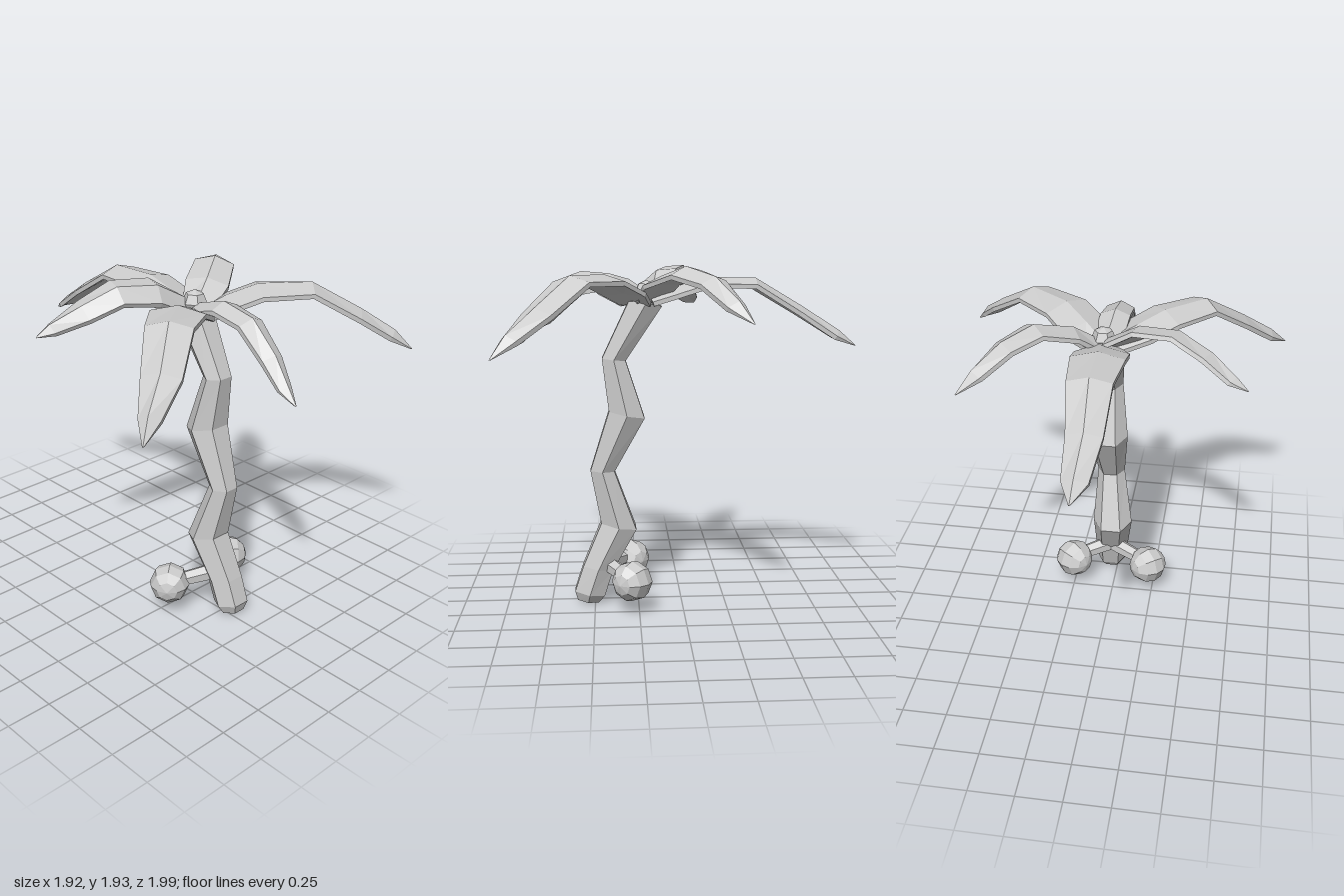
import * as THREE from 'three';

const material = new THREE.MeshStandardMaterial({ color: 0xcccccc, flatShading: true, side: THREE.DoubleSide });

// Skin a list of equal-sized rings of Vector3 and close both ends
function loft(rings) {
  const n = rings[0].length, index = [];
  const last = (rings.length - 1) * n;
  for (let r = 0; r < rings.length - 1; r++) {
    for (let i = 0; i < n; i++) {
      const a = r * n + i, b = r * n + (i + 1) % n;
      index.push(a, b, b + n, a, b + n, a + n);
    }
  }
  for (let i = 1; i < n - 1; i++) {
    index.push(0, i + 1, i, last, last + i, last + i + 1);
  }
  const geometry = new THREE.BufferGeometry().setFromPoints(rings.flat());
  geometry.setIndex(index);
  const flat = geometry.toNonIndexed();
  flat.computeVertexNormals();
  return flat;
}

function addMesh(parent, name, geometry) {
  const mesh = new THREE.Mesh(geometry, material);
  mesh.name = name;
  parent.add(mesh);
  return mesh;
}

// Six-sided trunk ring: centre, radius across x, radius along z, rise toward the front
function trunkRing([x, y, z, rx, rz, slope]) {
  return Array.from({ length: 6 }, (_, i) => {
    const t = i * Math.PI / 3;
    const dz = -Math.sin(t) * rz / 0.866;
    return new THREE.Vector3(x + Math.cos(t) * rx, y + dz * slope, z + dz);
  });
}

// Ridged leaf: stations are [x, ridge height, z, half width]; roll tips it sideways
function frondGeometry(stations, roll) {
  const points = stations.map(([x, y, z]) => new THREE.Vector3(x, y, z));
  const up = new THREE.Vector3(0, 1, 0);
  return loft(points.map((p, i) => {
    const before = points[Math.max(i - 1, 0)];
    const after = points[Math.min(i + 1, points.length - 1)];
    const dir = after.clone().sub(before).normalize();
    const side = up.clone().cross(dir).normalize();
    const normal = dir.clone().cross(side).normalize();
    side.applyAxisAngle(dir, roll);
    normal.applyAxisAngle(dir, roll);
    const w = stations[i][3], k = Math.min(1, w / 0.05);
    const section = [[0, 0], [-w, -0.035], [-w, -0.06], [0, -0.045], [w, -0.06], [w, -0.035]];
    return section.map(([s, h]) => p.clone().addScaledVector(side, s).addScaledVector(normal, h * k));
  }));
}

export function createModel() {
  const model = new THREE.Group();
  model.name = 'palmTree';

  // Zigzag trunk with a bevelled foot
  const trunk = [
    [0.04, 0.01, 0.54, 0.07, 0.06, 0.15],
    [0.04, 0.06, 0.53, 0.1, 0.085, 0.18],
    [0.035, 0.21, 0.48, 0.105, 0.085, 0.15],
    [0.015, 0.45, 0.36, 0.12, 0.1, 0.2],
    [0.035, 0.775, 0.45, 0.082, 0.068, 0.05],
    [0.04, 1.1, 0.31, 0.12, 0.1, 0.2],
    [0.04, 1.41, 0.38, 0.083, 0.066, 0.1],
    [0.04, 1.725, 0.2, 0.11, 0.09, 0.2],
  ];
  addMesh(model, 'trunk', loft(trunk.map(trunkRing)));

  // Crown bud closing the top of the trunk
  const bud = addMesh(model, 'crownBud', new THREE.SphereGeometry(0.07, 6, 4));
  bud.position.set(0.045, 1.78, 0.195);

  // Leaves around the crown
  const fronds = {
    backFrond: [[
      [0.04, 1.765, 0.18, 0.1], [0.03, 1.81, 0.04, 0.15], [0.025, 1.865, -0.14, 0.147],
      [0.025, 1.86, -0.42, 0.12], [0.01, 1.7, -0.69, 0.095], [0.025, 1.565, -0.9, 0.07],
      [0.03, 1.48, -0.995, 0.004]], 0],
    frontFrond: [[
      [0.03, 1.79, 0.24, 0.085], [0.015, 1.85, 0.44, 0.085], [0.01, 1.81, 0.65, 0.08],
      [0, 1.66, 0.82, 0.065], [-0.02, 1.53, 0.93, 0.04], [-0.03, 1.45, 0.995, 0.004]], 0],
    frontLeftFrond: [[
      [0.07, 1.76, 0.24, 0.1], [0.16, 1.82, 0.31, 0.15], [0.29, 1.885, 0.425, 0.145],
      [0.52, 1.885, 0.6, 0.12], [0.74, 1.73, 0.77, 0.1], [0.88, 1.61, 0.9, 0.055],
      [0.955, 1.5, 0.97, 0.004]], 0],
    frontRightFrond: [[
      [0.01, 1.76, 0.24, 0.1], [-0.13, 1.82, 0.32, 0.15], [-0.27, 1.88, 0.4, 0.145],
      [-0.49, 1.89, 0.57, 0.12], [-0.7, 1.73, 0.74, 0.1], [-0.87, 1.6, 0.845, 0.055],
      [-0.96, 1.5, 0.91, 0.004]], 0],
    backLeftFrond: [[
      [0.07, 1.78, 0.19, 0.09], [0.2, 1.87, 0.13, 0.12], [0.39, 1.93, 0, 0.11],
      [0.54, 1.88, -0.14, 0.09], [0.68, 1.76, -0.25, 0.06], [0.755, 1.65, -0.32, 0.004]], 0.1],
    backRightFrond: [[
      [0.02, 1.8, 0.16, 0.09], [-0.16, 1.9, 0.13, 0.11], [-0.38, 1.92, 0.06, 0.1],
      [-0.56, 1.84, -0.01, 0.085], [-0.7, 1.75, -0.1, 0.045], [-0.765, 1.69, -0.13, 0.004]], -0.4],
  };
  for (const [name, [stations, roll]] of Object.entries(fronds)) {
    addMesh(model, name, frondGeometry(stations, roll));
  }

  // Round fruits on short stalks either side of the base
  for (const [side, x] of [['left', 0.25], ['right', -0.22]]) {
    const fruit = addMesh(model, side + 'Fruit', new THREE.SphereGeometry(0.115, 8, 6));
    fruit.position.set(x, 0.18, 0.29);
    fruit.rotation.set(Math.PI / 2, 0, x > 0 ? -0.9 : 0.9);

    const start = new THREE.Vector3(0.03, 0.225, 0.43);
    const end = new THREE.Vector3(x, 0.19, 0.3);
    const span = end.clone().sub(start);
    const stalk = addMesh(model, side + 'Stalk', new THREE.CylinderGeometry(0.04, 0.05, span.length(), 6));
    stalk.position.copy(start).addScaledVector(span, 0.5);
    stalk.quaternion.setFromUnitVectors(new THREE.Vector3(0, 1, 0), span.normalize());
  }

  return model;
}
